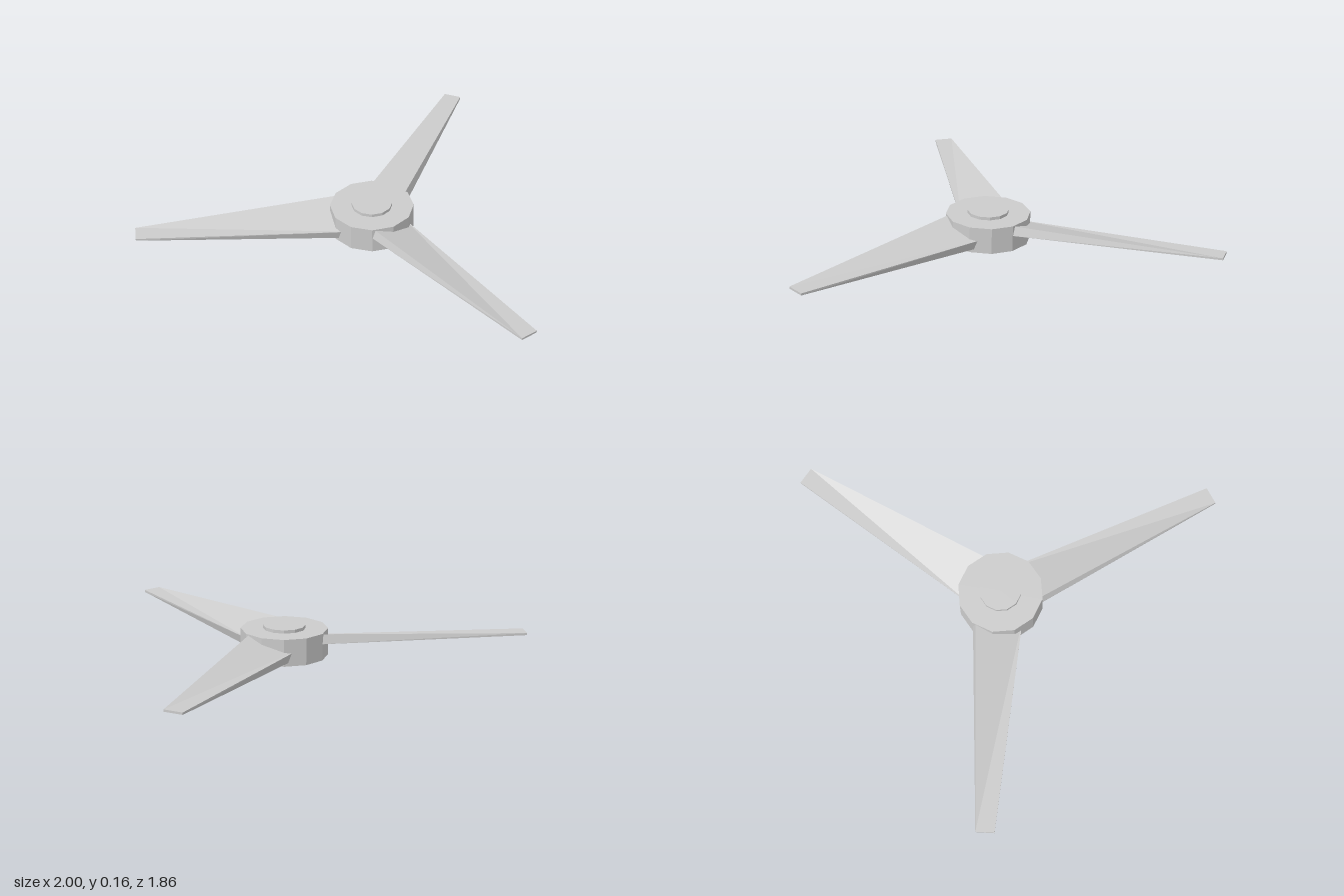
import * as THREE from 'three';

const material = new THREE.MeshStandardMaterial({ color: 0xcccccc, flatShading: true });

// Tapered, twisted blade running along +z from inside the hub to its tip
function bladeGeometry() {
  const root = { z: 0.1, x: -0.007, y: 0.083, width: 0.232, thick: 0.048, pitch: 0.28 };
  const tip = { z: 1.137, x: 0, y: 0.085, width: 0.087, thick: 0.01, pitch: 0.02 };
  const geometry = new THREE.BoxGeometry(1, 1, 1);
  const pos = geometry.attributes.position;
  for (let i = 0; i < pos.count; i++) {
    const s = pos.getZ(i) > 0 ? tip : root;
    const u = pos.getX(i) * s.width;
    const v = pos.getY(i) * s.thick;
    const c = Math.cos(s.pitch), n = Math.sin(s.pitch);
    pos.setXYZ(i, s.x + u * c + v * n, s.y - u * n + v * c, s.z);
  }
  geometry.computeVertexNormals();
  return geometry;
}

function disc(name, radius, bottom, top) {
  const mesh = new THREE.Mesh(new THREE.CylinderGeometry(radius, radius, top - bottom, 12), material);
  mesh.position.y = (top + bottom) / 2;
  mesh.name = name;
  return mesh;
}

export function createModel() {
  const model = new THREE.Group();
  model.name = 'propeller';

  // Rotor is offset so that the three blades' bounds are centred
  const rotor = new THREE.Group();
  rotor.name = 'rotor';
  rotor.position.set(0.063, 0, -0.21);
  model.add(rotor);

  // Hub with a thinner shaft showing above and below
  rotor.add(disc('hub', 0.202, 0.015, 0.141), disc('shaft', 0.098, 0, 0.156));

  // Three blades, 120 degrees apart
  const geometry = bladeGeometry();
  for (let i = 0; i < 3; i++) {
    const blade = new THREE.Mesh(geometry, material);
    blade.name = `blade${i + 1}`;
    blade.rotation.y = THREE.MathUtils.degToRad(7.3 + i * 120);
    rotor.add(blade);
  }
  return model;
}
